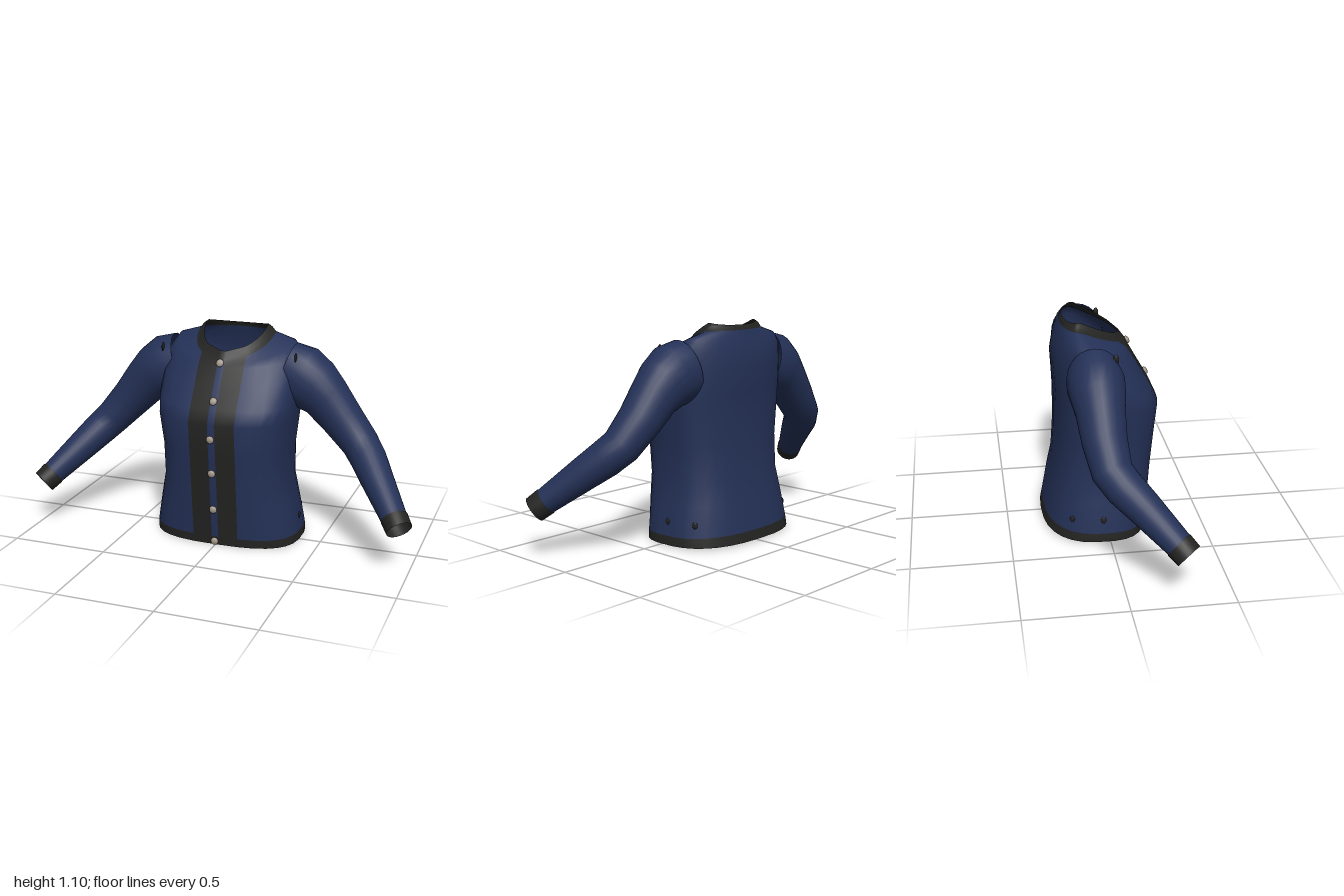
import * as THREE from 'three';

const mat = (name, color) => {
  const m = new THREE.MeshStandardMaterial({ color, side: THREE.DoubleSide });
  m.name = name;
  return m;
};

// Skin a stack of closed rings; pick(row, col) returns the material index of each quad
function loft(rings, pick) {
  const n = rings[0].length, lists = [[], []];
  for (let r = 0; r < rings.length - 1; r++) {
    for (let c = 0; c < n; c++) {
      const a = r * n + c, b = r * n + (c + 1) % n;
      lists[pick(r, c)].push(a, b, b + n, a, b + n, a + n);
    }
  }
  const g = new THREE.BufferGeometry();
  g.setAttribute('position', new THREE.Float32BufferAttribute(rings.flat().flatMap(p => p.toArray()), 3));
  g.setIndex(lists.flat());
  g.addGroup(0, lists[0].length, 0);
  g.addGroup(lists[0].length, lists[1].length, 1);
  g.computeVertexNormals();
  return g;
}

// Body sections: front y, z | half width, side y | back y, z
const BODY = [
  [0.00, 0.215, 0.390, 0.005, 0.01, -0.32],
  [0.045, 0.220, 0.387, 0.05, 0.06, -0.31],
  [0.20, 0.235, 0.360, 0.20, 0.20, -0.285],
  [0.33, 0.248, 0.335, 0.33, 0.33, -0.257],
  [0.50, 0.265, 0.336, 0.50, 0.50, -0.245],
  [0.66, 0.280, 0.357, 0.67, 0.67, -0.243],
  [0.73, 0.248, 0.362, 0.75, 0.75, -0.246],
  [0.84, 0.185, 0.362, 0.88, 0.88, -0.254],
  [0.92, 0.140, 0.350, 0.98, 0.96, -0.24],
  [0.94, 0.130, 0.310, 1.03, 1.02, -0.222],
  [0.955, 0.122, 0.205, 1.06, 1.06, -0.208],
  [0.975, 0.107, 0.185, 1.085, 1.08, -0.202],
  [0.995, 0.092, 0.165, 1.10, 1.085, -0.193]
];

function bodyRing([yf, zf, w, ys, yb, zb]) {
  // Boxy at the chest and hips, rounding off and leaning back towards the neck
  const rise = THREE.MathUtils.smoothstep(ys, 0.75, 1.06);
  const ef = 0.7 + 0.3 * rise, eb = 0.78 + 0.22 * rise;
  const zs = -0.035 - 0.09 * rise;
  // First columns follow the straight edges of the button bands
  const angle = x => Math.asin(Math.pow(x / w, 1 / ef));
  const start = angle(Math.min(0.12, 0.6 * w));
  const angles = [0, angle(0.018), start];
  for (let i = 1; i <= 14; i++) angles.push(start + (Math.PI - start) * i / 14);
  const half = angles.map(a => {
    const front = Math.cos(a) >= 0, c = Math.abs(Math.cos(a)), e = front ? ef : eb;
    return new THREE.Vector3(
      w * Math.pow(Math.max(0, Math.sin(a)), e),
      ys + ((front ? yf : yb) - ys) * c,
      zs + ((front ? zf : zb) - zs) * Math.pow(c, e));
  });
  const mirrored = half.slice(1, -1).reverse().map(p => new THREE.Vector3(-p.x, p.y, p.z));
  return half.concat(mirrored);
}

// Sleeve sections: centre x, y, z | radius
const SLEEVE = [
  [0.29, 0.875, -0.075, 0.155],
  [0.37, 0.853, -0.072, 0.160],
  [0.43, 0.815, -0.069, 0.144],
  [0.49, 0.762, -0.067, 0.124],
  [0.58, 0.658, -0.061, 0.107],
  [0.68, 0.548, -0.040, 0.094],
  [0.735, 0.490, 0.010, 0.090],
  [0.80, 0.416, 0.090, 0.081],
  [0.918, 0.283, 0.228, 0.064],
  [0.921, 0.280, 0.231, 0.067],
  [0.955, 0.241, 0.270, 0.064]
];

function sleeveRings(side) {
  const centres = SLEEVE.map(s => new THREE.Vector3(s[0], s[1], s[2]));
  const last = centres.length - 1;
  return SLEEVE.map(([x, , , radius], i) => {
    const t = centres[Math.min(i + 1, last)].clone().sub(centres[Math.max(i - 1, 0)]).normalize();
    const n = new THREE.Vector3(0, 0, 1).addScaledVector(t, -t.z).normalize();
    const b = t.clone().cross(n);
    // Narrower front to back at the shoulder
    const depth = radius * Math.min(1.04, 0.65 + 0.62 * x);
    const ring = [];
    for (let k = 0; k < 24; k++) {
      const a = k / 24 * Math.PI * 2;
      const p = centres[i].clone().addScaledVector(n, depth * Math.cos(a)).addScaledVector(b, radius * Math.sin(a));
      p.x *= side;
      ring.push(p);
    }
    return side > 0 ? ring : ring.reverse();
  });
}

export function createModel() {
  const group = new THREE.Group();
  group.name = 'cardigan';
  const knit = mat('navyKnit', 0x243157);
  const trim = mat('blackTrim', 0x232322);
  const metal = mat('buttonMetal', 0xa3978a);
  const add = (name, geometry, material) => {
    const m = new THREE.Mesh(geometry, material);
    m.name = name;
    group.add(m);
    return m;
  };

  // Body with hem, neckband and the two button bands
  const rings = BODY.map(bodyRing), cols = rings[0].length;
  add('body', loft(rings, (r, c) =>
    r === 0 || r >= BODY.length - 3 || c === 1 || c === cols - 2 ? 1 : 0), [knit, trim]);

  // Sleeves with cuffs, and small stitch marks
  const dot = new THREE.SphereGeometry(1, 10, 6);
  for (const side of [1, -1]) {
    const label = side > 0 ? 'left' : 'right';
    add(label + 'Sleeve', loft(sleeveRings(side), r => r >= SLEEVE.length - 3 ? 1 : 0), [knit, trim]);
    for (const [x, z, turn] of [[0.374, -0.035, 0], [0.338, -0.19, 0.5]]) {
      const mark = add(label + 'HemStitch', dot, trim);
      mark.position.set(side * x, 0.12, z);
      mark.rotation.y = side * turn;
      mark.scale.set(0.005, 0.018, 0.014);
    }
    const mark = add(label + 'ShoulderStitch', dot, trim);
    mark.position.set(side * 0.355, 0.972, 0.026);
    mark.scale.set(0.006, 0.026, 0.014);
  }

  // Buttons down the front, tilted to follow the slope
  const buttonShape = new THREE.SphereGeometry(0.02, 14, 10);
  for (const y of [0.02, 0.2, 0.4, 0.585, 0.77, 0.942]) {
    const i = BODY.findIndex(s => s[0] >= y);
    const [y0, z0] = BODY[i - 1], [y1, z1] = BODY[i];
    const slope = (z1 - z0) / (y1 - y0);
    const button = add('button', buttonShape, metal);
    button.position.set(-0.003, y, z0 + slope * (y - y0) + 0.005);
    button.rotation.x = Math.atan(slope);
    button.scale.z = 0.6;
  }
  return group;
}
